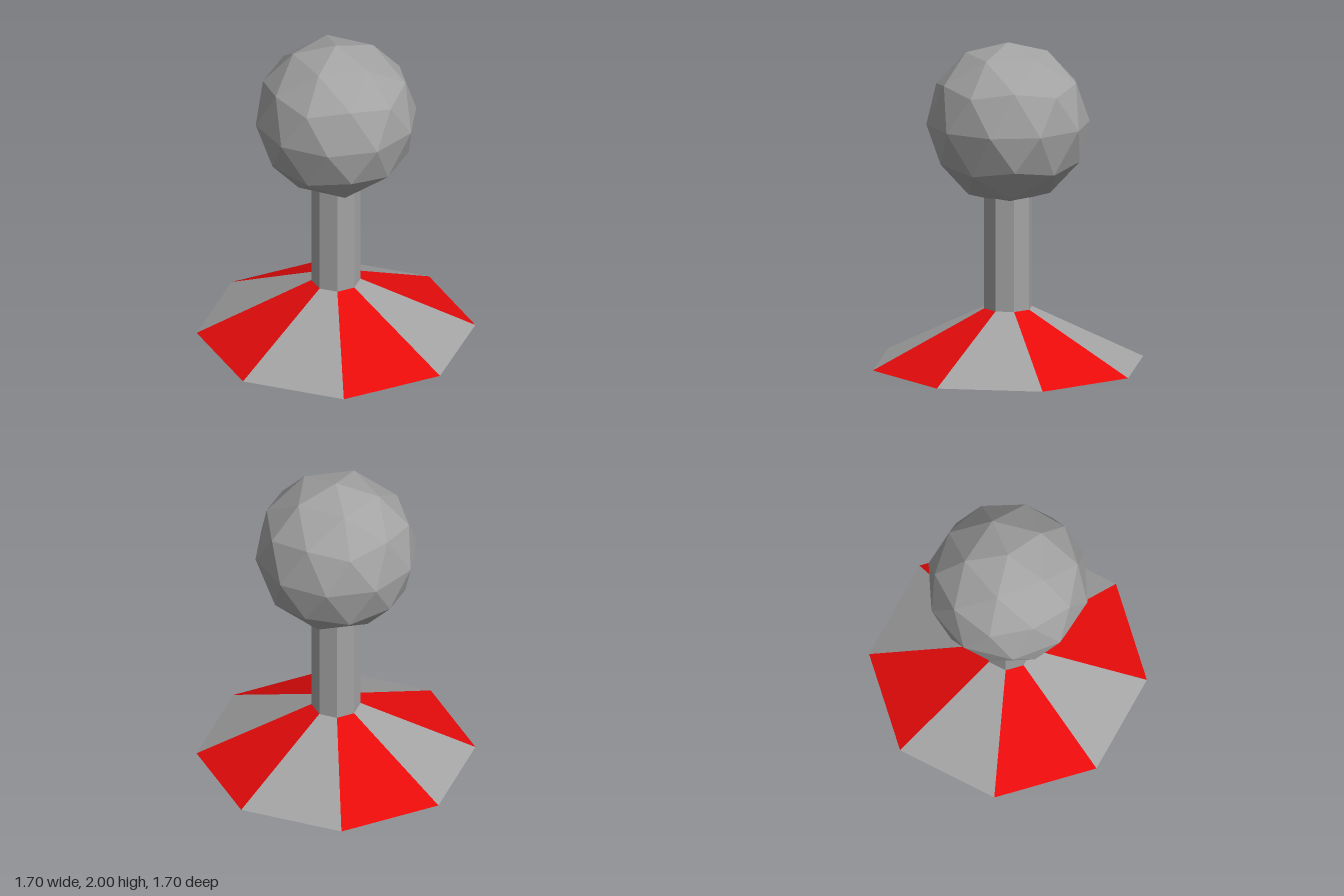
import * as THREE from 'three';

const SIDES = 8;
const BASE_HEIGHT = 0.35;
const POST_RADIUS = 0.15;

// Give every face its own normal for a faceted low-poly look
function faceted(geometry) {
  const flat = geometry.index ? geometry.toNonIndexed() : geometry;
  flat.computeVertexNormals();
  return flat;
}

export function createModel() {
  const grey = new THREE.MeshStandardMaterial({ color: 0xa3a3a3 });
  grey.name = 'grey';
  const red = new THREE.MeshStandardMaterial({ color: 0xff0d0d });
  red.name = 'red';
  const blue = new THREE.MeshStandardMaterial({ color: 0x0d0dff });
  blue.name = 'blue';

  const model = new THREE.Group();
  model.name = 'ballOnPost';
  const add = (name, geometry, material, y) => {
    const mesh = new THREE.Mesh(faceted(geometry), material);
    mesh.name = name;
    mesh.position.y = y;
    model.add(mesh);
  };

  // Octagonal base: alternating grey and red panels, blue underside
  const base = new THREE.CylinderGeometry(POST_RADIUS, 0.85, BASE_HEIGHT, SIDES);
  base.clearGroups();
  for (let i = 0; i < SIDES; i++) base.addGroup(i * 6, 6, i % 2);
  base.addGroup(SIDES * 6, SIDES * 3, 0);
  base.addGroup(SIDES * 9, SIDES * 3, 2);
  add('base', base, [grey, red, blue], BASE_HEIGHT / 2);

  // Post, running a little way into the ball
  const postTop = 1.08;
  const postHeight = postTop - BASE_HEIGHT;
  const post = new THREE.CylinderGeometry(POST_RADIUS, POST_RADIUS, postHeight, SIDES, 1, true);
  add('post', post, grey, BASE_HEIGHT + postHeight / 2);

  // Faceted ball, turned so that one corner points straight up
  const ball = new THREE.IcosahedronGeometry(0.5, 1);
  ball.rotateZ(-Math.atan(2 / (1 + Math.sqrt(5))));
  add('ball', ball, grey, 1.5);

  return model;
}
